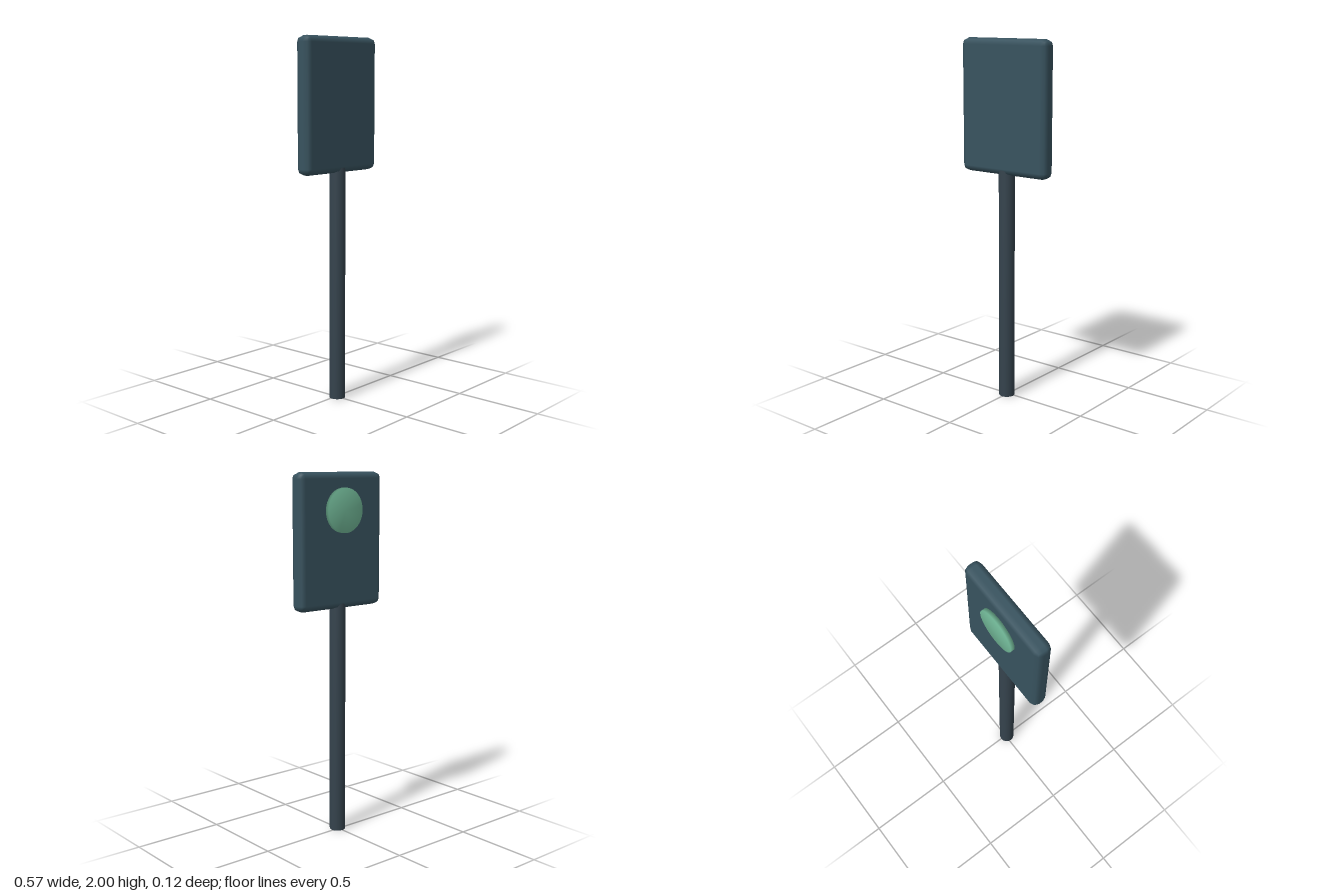
import * as THREE from 'three';
import { mergeVertices } from 'three/addons/utils/BufferGeometryUtils.js';
import { RoundedBoxGeometry } from 'three/addons/geometries/RoundedBoxGeometry.js';

const MID_Z = 0.01; // depth of the pole axis and panel centre

function part(name, geometry, color) {
  const mesh = new THREE.Mesh(geometry, new THREE.MeshStandardMaterial({ color }));
  mesh.name = name;
  return mesh;
}

// Cylinder whose normals are blended softly across its rims
function softCylinder(radius, height, sides) {
  const g = new THREE.CylinderGeometry(radius, radius, height, sides);
  g.deleteAttribute('normal');
  g.deleteAttribute('uv');
  const merged = mergeVertices(g);
  merged.computeVertexNormals();
  return merged;
}

export function createModel() {
  const group = new THREE.Group();
  group.name = 'signPost';

  // Pole, ending just inside the panel
  const poleHeight = 1.3;
  const pole = part('pole', softCylinder(0.044, poleHeight, 32), 0x35434d);
  pole.position.set(0, poleHeight / 2, MID_Z);
  group.add(pole);

  // Sign panel with softly bevelled edges
  const panel = part('panel', new RoundedBoxGeometry(0.568, 0.727, 0.091, 1, 0.034), 0x38535f);
  panel.position.set(0, 1.6365, MID_Z);
  group.add(panel);

  // Round indicator standing just off the back of the panel
  const disc = part('indicatorDisc', softCylinder(0.119, 0.022, 48), 0x72b998);
  disc.rotation.x = Math.PI / 2;
  disc.position.set(0, 1.8, -0.049);
  group.add(disc);

  return group;
}
